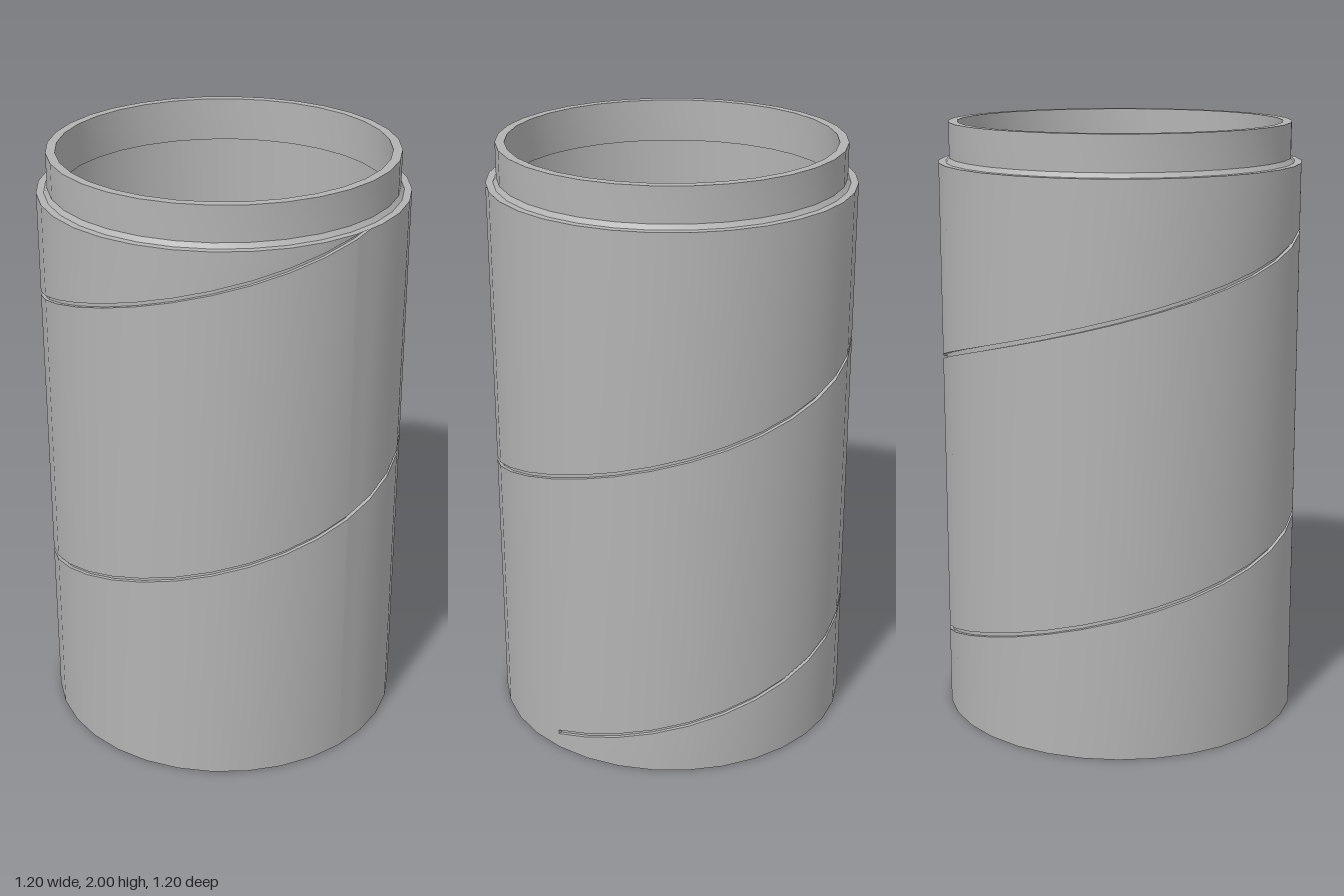
import * as THREE from 'three';
import { toCreasedNormals } from 'three/addons/utils/BufferGeometryUtils.js';

const SIDES = 32, R = 0.6, TOP = 1.87;          // outer sleeve
const START = 0.06, PITCH = 0.96;               // spiral groove
const HALF = 0.007, DEPTH = 0.012;
const TURN = Math.PI * 2;

// Sleeve wall whose rows follow the spiral groove, rising anticlockwise from +x
function grooveWall() {
  const step = TURN / SIDES;
  const angles = Array.from({ length: SIDES + 1 }, (_, i) => i * step);
  // extra columns where the groove runs out at the top edge
  for (const s of [-HALF, HALF]) angles.push(((TOP - s - START) / PITCH - 1) * TURN);
  angles.sort((a, b) => a - b);

  // radius of the faceted wall at any angle
  const facet = (a) => {
    const off = (((a % step) + step) % step) - step / 2;
    return Math.cos(step / 2) / Math.cos(off);
  };
  const point = (a, r, y) => {
    const k = r * facet(a);
    return new THREE.Vector3(k * Math.cos(a), y, -k * Math.sin(a));
  };
  const column = (a) => {
    const rows = [[R, 0]];
    for (let k = 0; k < 2; k++) {
      const y = START + PITCH * (a / TURN + k);
      rows.push([R, y - HALF], [R - DEPTH, y - HALF], [R - DEPTH, y + HALF], [R, y + HALF]);
    }
    rows.push([R, TOP]);
    return rows.map(([r, y]) => point(a, r, Math.min(y, TOP)));
  };

  const pos = [];
  const tri = (a, b, c) => {
    if (new THREE.Triangle(a, b, c).getArea() > 1e-8) {
      for (const p of [a, b, c]) pos.push(p.x, p.y, p.z);
    }
  };
  const quad = (a, b, c, d) => { tri(a, b, c); tri(a, c, d); };

  const cols = angles.map(column);
  for (let j = 0; j < cols.length - 1; j++) {
    for (let i = 0; i < cols[j].length - 1; i++) {
      quad(cols[j][i], cols[j + 1][i], cols[j + 1][i + 1], cols[j][i + 1]);
    }
  }
  // closed lower end of the groove
  quad(cols[0][1], cols[0][2], cols[0][3], cols[0][4]);

  const geo = new THREE.BufferGeometry();
  geo.setAttribute('position', new THREE.Float32BufferAttribute(pos, 3));
  return toCreasedNormals(geo, 0.5);
}

function turned(profile) {
  const pts = profile.map(([r, y]) => new THREE.Vector2(r, y));
  return toCreasedNormals(new THREE.LatheGeometry(pts, SIDES), 0.5);
}

export function createModel() {
  const group = new THREE.Group();
  group.name = 'canister';
  const grey = new THREE.MeshStandardMaterial({ color: 0xb3b3b3 });
  grey.name = 'grey';

  const add = (name, geo) => {
    const mesh = new THREE.Mesh(geo, grey);
    mesh.name = name;
    group.add(mesh);
  };

  add('grooveWall', grooveWall());
  // shoulder ledge and open neck
  add('neck', turned([
    [R, TOP], [0.576, TOP], [0.565, 1.885], [0.565, 2],
    [0.535, 2], [0.535, 1.857], [0.55, 1.857],
  ]));
  // hollow inside and base with a drain hole
  add('liningAndBase', turned([
    [0.55, 1.857], [0.55, 0.06], [0.037, 0.06], [0.037, 0], [R, 0],
  ]));
  return group;
}
